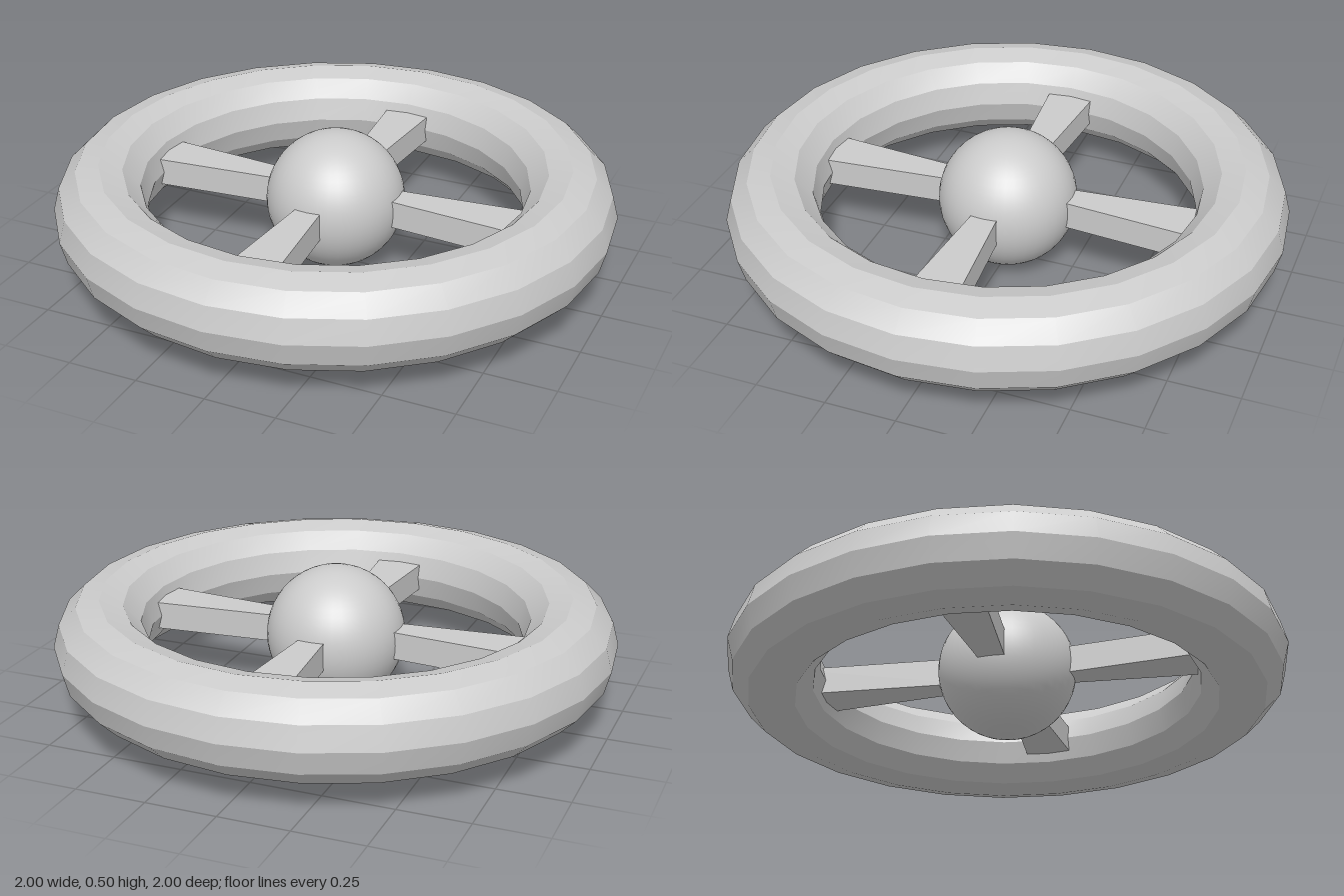
import * as THREE from 'three';
import { toCreasedNormals } from 'three/addons/utils/BufferGeometryUtils.js';

const CENTER_Y = 0.25;
const HUB_RADIUS = 0.248;

export function createModel() {
  const group = new THREE.Group();
  group.name = 'wheel';
  const material = new THREE.MeshStandardMaterial({ color: 0xcccccc });

  const add = (name, geometry) => {
    const mesh = new THREE.Mesh(geometry, material);
    mesh.name = name;
    mesh.position.y = CENTER_Y;
    group.add(mesh);
    return mesh;
  };

  // Rim: smooth around the ring, sharp edges between its twelve bands
  const rim = new THREE.TorusGeometry(0.835, 0.165, 12, 24).rotateX(Math.PI / 2);
  add('rim', toCreasedNormals(rim, THREE.MathUtils.degToRad(22)));

  // Round hub
  add('hub', new THREE.SphereGeometry(HUB_RADIUS, 40, 28));

  // Four spokes widening from the hub to the rim
  const outline = new THREE.Shape([
    new THREE.Vector2(0.15, -0.04),
    new THREE.Vector2(0.78, -0.094),
    new THREE.Vector2(0.78, 0.094),
    new THREE.Vector2(0.15, 0.04),
  ]);
  const spoke = new THREE.ExtrudeGeometry(outline, { depth: 0.1, bevelEnabled: false })
    .translate(0, 0, -0.05)
    .rotateX(-Math.PI / 2);
  for (let i = 0; i < 4; i++) {
    add(`spoke${i + 1}`, spoke).rotation.y = (i * Math.PI) / 2;
  }

  return group;
}
